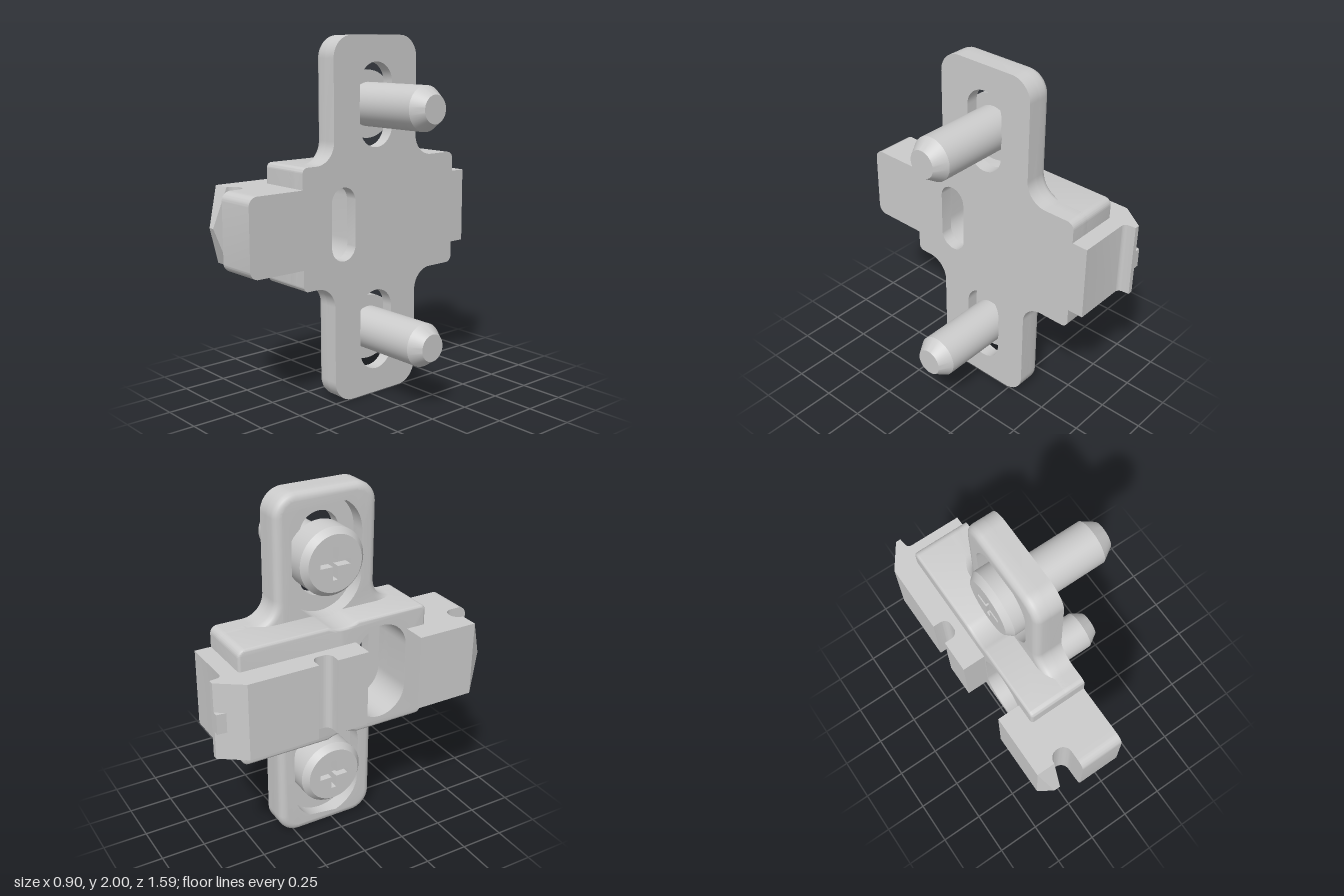
import * as THREE from 'three';
import { toCreasedNormals } from 'three/addons/utils/BufferGeometryUtils.js';
import { ConvexGeometry } from 'three/addons/geometries/ConvexGeometry.js';

const MID = 1;            // mirror height of the whole part
const SCREW_Z = -0.045;
const Y0 = 0.79, Y1 = 1.215; // height range of the narrow bar
const FLOOR = 0.07;       // thickness of the layer under the counterbores

// Closed outline from [u, v, cornerRadius] points
function outline(points) {
  const shape = new THREE.Shape();
  const n = points.length, k = 0.5523;
  const corners = points.map(([u, v, r = 0], i) => {
    const p = new THREE.Vector2(u, v);
    const toward = (q, d) => new THREE.Vector2(q[0], q[1]).sub(p).setLength(d).add(p);
    const a = points[(i + n - 1) % n], b = points[(i + 1) % n];
    return { p, r, a0: toward(a, r), a1: toward(a, r * (1 - k)), b1: toward(b, r * (1 - k)), b0: toward(b, r) };
  });
  const last = corners[n - 1];
  shape.moveTo(last.b0.x, last.b0.y);
  for (const c of corners) {
    shape.lineTo(c.a0.x, c.a0.y);
    if (c.r) shape.bezierCurveTo(c.a1.x, c.a1.y, c.b1.x, c.b1.y, c.b0.x, c.b0.y);
  }
  return shape;
}

// Upright slot hole: centre z, centres of the two round ends, radius
function slotPath({ z, y0, y1, r }) {
  const path = new THREE.Path();
  path.absarc(-z, y1, r, 0, Math.PI);
  path.absarc(-z, y0, r, Math.PI, Math.PI * 2);
  path.closePath();
  return path;
}

// Side plate from [z, y, r] points, spanning x0..x1, with the outer (-x) rim rounded
function plate(points, x0, x1, slots = [], round = 0) {
  const shape = outline(points.map(([z, y, r]) => [-z, y, r]));
  shape.holes = slots.map(slotPath);
  const depth = x1 - x0 - round;
  const g = new THREE.ExtrudeGeometry(shape, {
    depth, curveSegments: 14, bevelEnabled: round > 0,
    bevelThickness: round, bevelSize: round, bevelOffset: -round, bevelSegments: 4,
  });
  const pos = g.attributes.position;
  for (let i = 0; i < pos.count; i++) {
    if (pos.getZ(i) > depth) pos.setZ(i, depth); // flat mounting side
    for (const s of slots) {                     // straight slot walls
      const u = -s.z, v = THREE.MathUtils.clamp(pos.getY(i), s.y0, s.y1);
      const du = pos.getX(i) - u, dv = pos.getY(i) - v, d = Math.hypot(du, dv);
      if (d < s.r + round + 0.003) pos.setXY(i, u + du * s.r / d, v + dv * s.r / d);
    }
  }
  g.rotateY(Math.PI / 2).translate(x0 + round, 0, 0);
  return toCreasedNormals(g, 0.5);
}

// Bar section from [x, z, r] points, extruded between two heights
function bar(points, y0 = Y0, y1 = Y1) {
  const g = new THREE.ExtrudeGeometry(outline(points.map(([x, z, r]) => [x, -z, r])), {
    depth: y1 - y0, curveSegments: 10, bevelEnabled: false,
  });
  g.rotateX(-Math.PI / 2).translate(0, y0, 0);
  return toCreasedNormals(g, 0.5);
}

export function createModel() {
  const model = new THREE.Group();
  const grey = new THREE.MeshStandardMaterial({ color: 0xcccccc });
  const add = (name, geometry, parent = model) => {
    const mesh = new THREE.Mesh(geometry, grey);
    mesh.name = name;
    parent.add(mesh);
    return mesh;
  };

  // Cross-shaped mounting plate: slotted floor and counterbored upper layer
  const cross = [
    [0.25, 2, 0.12], [-0.34, 2, 0.12], [-0.34, 1.33, 0.12], [-0.64, 1.33, 0.04],
    [-0.64, 0.67, 0.04], [-0.34, 0.67, 0.12], [-0.34, 0, 0.12], [0.25, 0, 0.12],
    [0.25, 0.67, 0.12], [0.46, 0.67, 0.03], [0.46, 1.33, 0.03], [0.25, 1.33, 0.12],
  ];
  const screwSlots = (r) => [
    { z: SCREW_Z, y0: 1.515, y1: 1.745, r },
    { z: SCREW_Z, y0: 0.255, y1: 0.485, r },
  ];
  const centreSlot = { z: 0.187, y0: 0.88, y1: 1.12, r: 0.082 };
  const centreBore = { ...centreSlot, r: 0.154 };
  add('plateFloor', plate(cross, -FLOOR, 0, [...screwSlots(0.115), centreSlot]));
  add('plateRim', plate(cross, -0.155, -FLOOR, [...screwSlots(0.205), centreBore], 0.04));

  // Centre block with shallow scoops clearing the screw heads
  const scoop = [];
  const half = Math.acos(0.185 / 0.205);
  for (let i = -4; i <= 4; i++) {
    const t = half * i / 4;
    scoop.push([SCREW_Z + 0.205 * Math.sin(t), 1.515 - 0.205 * Math.cos(t), 0]);
  }
  const lowerScoop = scoop.map(([z, y]) => [z, 2 * MID - y, 0]).reverse();
  add('centreBlock', plate([
    [-0.64, 1.33, 0.04], ...scoop, [0.46, 1.33, 0.03],
    [0.46, 0.67, 0.03], ...lowerScoop, [-0.64, 0.67, 0.04],
  ], -0.325, -FLOOR, [centreBore], 0.015));

  // Front bar with U-shaped groove, rounded nose and pointed hook
  add('frontBar', bar([
    [0, 0.345], [-0.453, 0.345], [-0.453, 0.695], [-0.35, 0.695],
    [-0.35, 0.643, 0.05], [-0.243, 0.643, 0.05], [-0.243, 0.71], [0, 0.71],
  ]));
  add('frontNose', plate([
    [0.71, Y0], [0.795, Y0, 0.05], [0.795, Y1, 0.05], [0.71, Y1],
  ], -0.243, 0));
  const tip = [[-0.4, MID, 0.775], [-0.365, MID, 0.775]];
  for (const y of [Y0, Y1]) tip.push([-0.453, y, 0.695], [-0.35, y, 0.695]);
  add('frontHook', new ConvexGeometry(tip.map((p) => new THREE.Vector3(...p))));

  // Rear bar with side notch, sloping end lip and small catch
  add('rearBar', bar([
    [0, 0.025], [0, -0.73], [-0.32, -0.73, 0.025], [-0.327, -0.795], [-0.355, -0.795],
    [-0.453, -0.655], [-0.453, -0.265], [-0.37, -0.265, 0.04], [-0.37, -0.155, 0.04],
    [-0.453, -0.155], [-0.453, 0.025],
  ]));
  add('rearCatch', bar([
    [-0.34, -0.73], [-0.34, -0.795], [-0.385, -0.795], [-0.392, -0.73],
  ], MID - 0.055, MID + 0.055));

  // Two screws with cross-recessed heads
  const body = new THREE.LatheGeometry([
    [0.155, -0.235], [0.185, -0.2], [0.185, -FLOOR], [0.12, -FLOOR],
    [0.12, 0.38], [0.075, 0.45], [0, 0.45],
  ].map(([r, x]) => new THREE.Vector2(r, x)), 48).rotateZ(-Math.PI / 2);
  const bodyGeometry = toCreasedNormals(body, 0.5);
  const face = new THREE.Shape().absarc(0, 0, 0.155, 0, Math.PI * 2);
  const a = 0.088, w = 0.015;
  face.holes.push(new THREE.Path([
    [a, -w], [a, w], [w, w], [w, a], [-w, a], [-w, w],
    [-a, w], [-a, -w], [-w, -w], [-w, -a], [w, -a], [w, -w],
  ].map((p) => new THREE.Vector2(...p))));
  const faceGeometry = new THREE.ExtrudeGeometry(face, { depth: 0.05, curveSegments: 24, bevelEnabled: false })
    .rotateY(Math.PI / 2).translate(-0.235, 0, 0);
  const recessGeometry = new THREE.CylinderGeometry(0.1, 0.1, 0.03, 24)
    .rotateZ(Math.PI / 2).translate(-0.17, 0, 0);
  for (const [name, y] of [['upperScrew', 1.63], ['lowerScrew', 0.37]]) {
    const screw = new THREE.Group();
    screw.name = name;
    screw.position.set(0, y, SCREW_Z);
    add('screwBody', bodyGeometry, screw);
    add('screwHeadFace', faceGeometry, screw);
    add('screwRecessFloor', recessGeometry, screw);
    model.add(screw);
  }
  return model;
}
